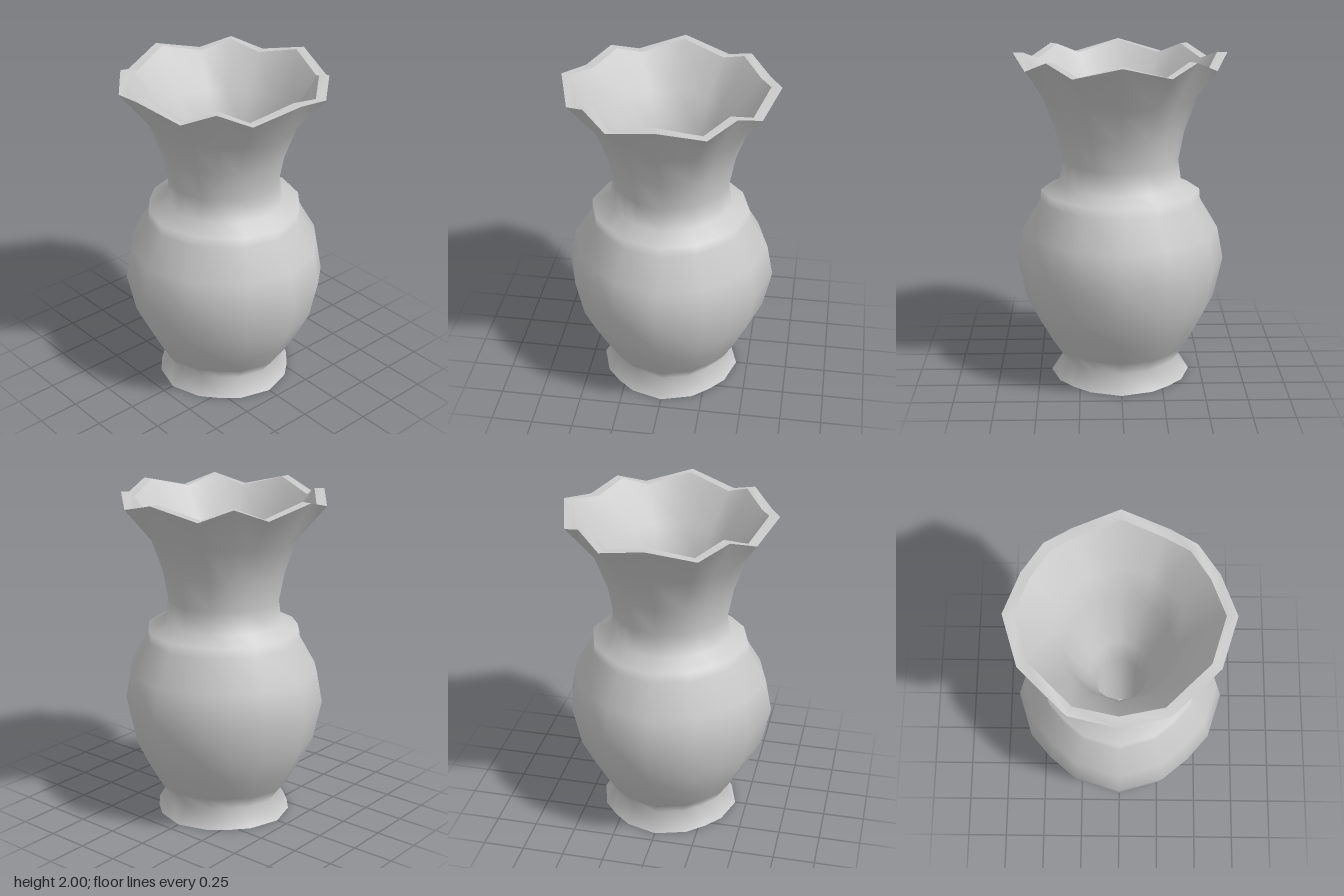
import * as THREE from 'three';
import { mergeVertices } from 'three/addons/utils/BufferGeometryUtils.js';

const SIDES = 16;
const RIM_Y = 2;
const RIM_DIP = 0.07;

// Angle and radius factor of each corner; the outline is a slightly squared 16-gon
function corner(i) {
  const quarter = Math.floor(i / 4) * Math.PI / 2;
  const angle = [0, 26.6, 45, 63.4][i % 4] * Math.PI / 180;
  return { angle: quarter + angle, scale: [1, 0.97, 0.945, 0.97][i % 4] };
}

// Lathe a profile of [radius, y], then bend it to the squared outline and scalloped rim
function ring(name, profile, material) {
  const points = profile.map(([r, y]) => new THREE.Vector2(r, y));
  let geo = new THREE.LatheGeometry(points, SIDES);
  const pos = geo.attributes.position;
  for (let k = 0; k < pos.count; k++) {
    const i = Math.floor(k / points.length) % SIDES;
    const { x: r, y } = points[k % points.length];
    const { angle, scale } = corner(i);
    const dip = y === RIM_Y && i % 2 === 1 ? RIM_DIP : 0;
    pos.setXYZ(k, r * scale * Math.sin(angle), y - dip, r * scale * Math.cos(angle));
  }
  geo.deleteAttribute('uv');
  geo.deleteAttribute('normal');
  geo = mergeVertices(geo);
  geo.computeVertexNormals();
  const mesh = new THREE.Mesh(geo, material);
  mesh.name = name;
  return mesh;
}

export function createModel() {
  const vase = new THREE.Group();
  vase.name = 'vase';
  const clay = new THREE.MeshStandardMaterial({ color: 0xcccccc });

  // Foot, belly, collar and flared neck in one smooth skin
  vase.add(ring('outerWall', [
    [0.43, 0], [0.36, 0.11], [0.425, 0.2], [0.5, 0.33], [0.58, 0.49],
    [0.632, 0.73], [0.595, 0.925], [0.485, 1.11], [0.48, 1.17], [0.37, 1.215],
    [0.35, 1.35], [0.385, 1.53], [0.46, 1.73], [0.632, RIM_Y],
  ], clay));

  // Scalloped lip
  vase.add(ring('rim', [[0.632, RIM_Y], [0.57, RIM_Y]], clay));

  // Funnel and narrow well inside
  vase.add(ring('innerWall', [
    [0.57, RIM_Y], [0.4, 1.73], [0.32, 1.53], [0.27, 1.35],
    [0.19, 1.15], [0.147, 0.95], [0.147, 0.2],
  ], clay));
  vase.add(ring('innerFloor', [[0.147, 0.2], [0, 0.2]], clay));

  // Flat underside
  vase.add(ring('base', [[0, 0], [0.43, 0]], clay));

  return vase;
}
